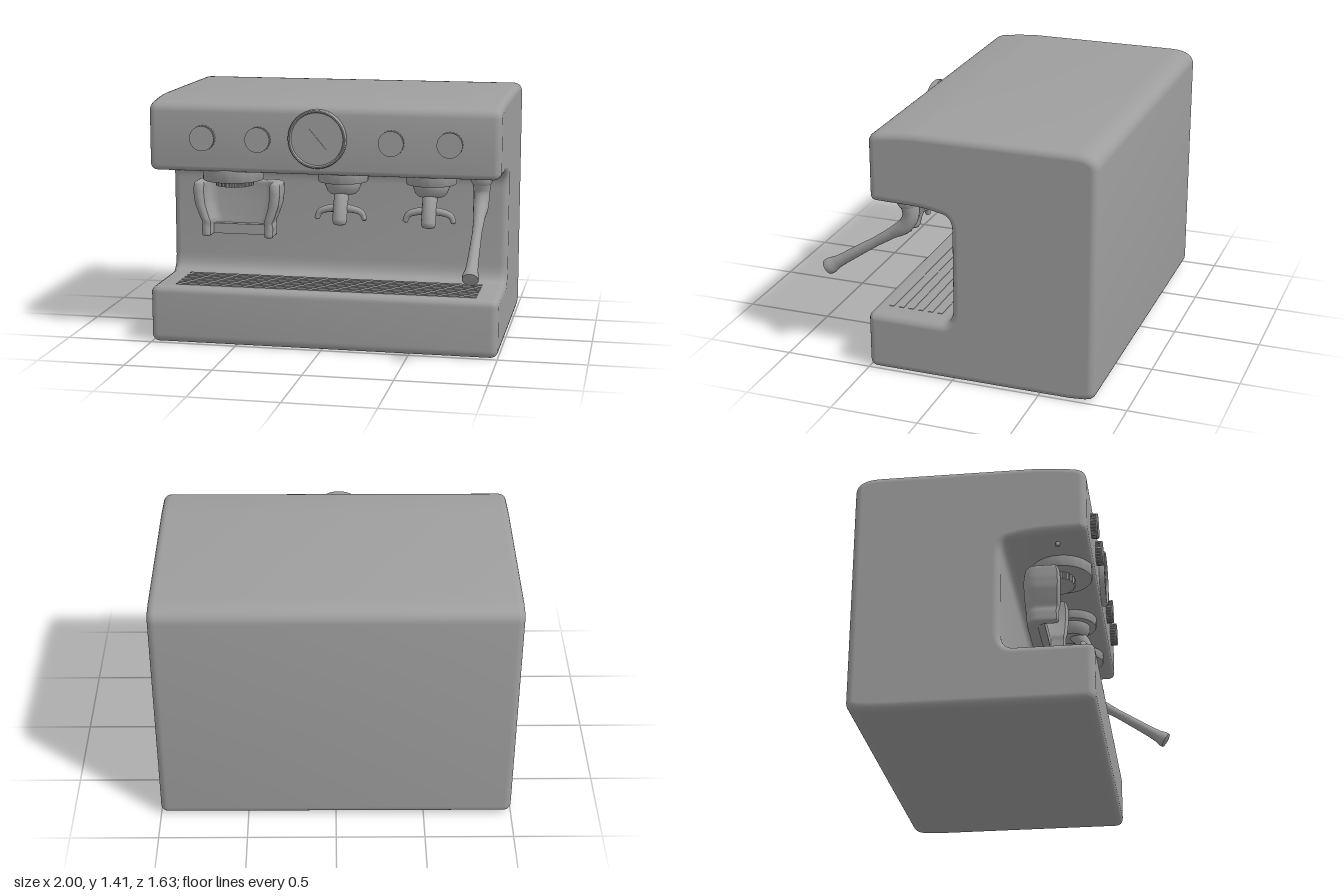
import * as THREE from 'three';
import { toCreasedNormals } from 'three/addons/utils/BufferGeometryUtils.js';

const material = new THREE.MeshStandardMaterial({ color: 0x9e9e9e });

function add(parent, name, geometry, x = 0, y = 0, z = 0) {
  const mesh = new THREE.Mesh(geometry, material);
  mesh.name = name;
  mesh.position.set(x, y, z);
  parent.add(mesh);
  return mesh;
}

// Turned part from [radius, height] pairs, listed from bottom to top
function turned(points) {
  const profile = points.map(([r, y]) => new THREE.Vector2(r, y));
  return toCreasedNormals(new THREE.LatheGeometry(profile, 40), 0.6);
}

// Fluted disc, axis along +z
function fluted(radius, depth, teeth) {
  const shape = new THREE.Shape();
  const count = teeth * 4;
  for (let i = 0; i < count; i++) {
    const a = (i / count) * Math.PI * 2;
    const r = i % 4 < 2 ? radius : radius * 0.93;
    shape[i ? 'lineTo' : 'moveTo'](r * Math.cos(a), r * Math.sin(a));
  }
  return new THREE.ExtrudeGeometry(shape, { depth, bevelEnabled: false });
}

// Piecewise linear lookup in a list of [position, value]
function lookup(table, t) {
  for (let i = 1; i < table.length; i++) {
    const [a, va] = table[i - 1], [b, vb] = table[i];
    if (t <= b) return THREE.MathUtils.mapLinear(Math.max(t, a), a, b, va, vb);
  }
  return table[table.length - 1][1];
}

// Tube with a radius that varies along its path, closed at both ends
function taperedTube(points, radii, rings = 48, sides = 16) {
  const curve = new THREE.CatmullRomCurve3(points.map((p) => new THREE.Vector3(...p)));
  const tube = new THREE.TubeGeometry(curve, rings, 1, sides);
  const pos = tube.attributes.position;
  const v = new THREE.Vector3();
  for (let i = 0; i < pos.count; i++) {
    const t = Math.floor(i / (sides + 1)) / rings;
    const c = curve.getPointAt(t);
    v.fromBufferAttribute(pos, i).sub(c).multiplyScalar(lookup(radii, t)).add(c);
    pos.setXYZ(i, v.x, v.y, v.z);
  }
  tube.computeVertexNormals();
  return toCreasedNormals(tube, 0.9);
}

// C-shaped housing: side profile (z, y) extruded across the width
function bodyGeometry() {
  const s = new THREE.Shape();
  s.moveTo(-0.74, 0.005);
  s.lineTo(-0.67, 0);
  s.lineTo(0.45, 0);
  s.quadraticCurveTo(0.5, 0, 0.5, 0.05);
  s.lineTo(0.5, 0.29);
  s.quadraticCurveTo(0.5, 0.33, 0.46, 0.33);
  s.lineTo(0.07, 0.33);
  s.quadraticCurveTo(0, 0.33, 0, 0.43);
  s.lineTo(0, 0.88);
  s.quadraticCurveTo(0, 0.965, 0.06, 0.972);
  s.quadraticCurveTo(0.16, 0.995, 0.26, 0.996);
  s.lineTo(0.43, 1.0);
  s.quadraticCurveTo(0.47, 1.0, 0.47, 1.04);
  s.lineTo(0.47, 1.34);
  s.quadraticCurveTo(0.465, 1.385, 0.41, 1.395);
  s.quadraticCurveTo(0.3, 1.41, 0.2, 1.415);
  s.lineTo(-0.68, 1.415);
  s.quadraticCurveTo(-0.815, 1.412, -0.815, 1.33);
  s.lineTo(-0.815, 0.06);
  s.quadraticCurveTo(-0.815, 0.01, -0.74, 0.005);
  const b = 0.042;
  const extruded = new THREE.ExtrudeGeometry(s, {
    depth: 2 - 2 * b, bevelThickness: b, bevelSize: b, bevelOffset: -b, bevelSegments: 5, curveSegments: 8,
  });
  extruded.translate(0, 0, b - 1).rotateY(-Math.PI / 2);
  const g = toCreasedNormals(extruded, 0.6);
  // Keep the flat side walls evenly shaded
  const pos = g.attributes.position;
  for (let i = 0; i < pos.count; i++) {
    const x = pos.getX(i);
    if (Math.abs(x) > 0.9999) g.attributes.normal.setXYZ(i, Math.sign(x), 0, 0);
  }
  return g;
}

// Open-fronted cradle: U-shaped plan, its width and depth changing with height
function cradleGeometry() {
  const s = new THREE.Shape();
  s.moveTo(-0.255, -0.09);
  s.lineTo(-0.255, 0.03);
  s.quadraticCurveTo(-0.25, 0.105, -0.17, 0.105);
  s.lineTo(0.17, 0.105);
  s.quadraticCurveTo(0.25, 0.105, 0.255, 0.03);
  s.lineTo(0.255, -0.09);
  s.quadraticCurveTo(0.225, -0.12, 0.195, -0.09);
  s.lineTo(0.195, -0.02);
  s.quadraticCurveTo(0.19, 0.03, 0.14, 0.035);
  s.lineTo(-0.14, 0.035);
  s.quadraticCurveTo(-0.19, 0.03, -0.195, -0.02);
  s.lineTo(-0.195, -0.09);
  s.quadraticCurveTo(-0.225, -0.12, -0.255, -0.09);
  const b = 0.012;
  const g = new THREE.ExtrudeGeometry(s, {
    depth: 0.32 - 2 * b, steps: 24, bevelThickness: b, bevelSize: b, bevelOffset: -b, bevelSegments: 3, curveSegments: 6,
  });
  g.translate(0, 0, b).rotateX(-Math.PI / 2);
  const width = [[0, 0.82], [0.06, 0.83], [0.085, 0.81], [0.12, 0.87], [0.19, 0.97], [0.25, 1], [0.32, 1]];
  const depth = [[0, 0.87], [0.07, 0.87], [0.1, 0.94], [0.22, 1], [0.28, 0.98], [0.32, 0.88]];
  const pos = g.attributes.position;
  for (let i = 0; i < pos.count; i++) {
    const y = pos.getY(i);
    pos.setX(i, pos.getX(i) * lookup(width, y));
    pos.setZ(i, pos.getZ(i) * lookup(depth, y));
  }
  return toCreasedNormals(g, 0.6);
}

export function createModel() {
  const model = new THREE.Group();
  model.name = 'espressoMachine';
  add(model, 'body', bodyGeometry());

  // Drip tray ribs
  for (let i = 0; i < 6; i++) {
    add(model, 'dripTrayRib', new THREE.BoxGeometry(1.74, 0.012, 0.028), 0, 0.327, 0.12 + i * 0.058);
  }

  // Control knobs
  for (const x of [-0.68, -0.36, 0.395, 0.72]) {
    const knob = new THREE.Group();
    knob.name = 'knob';
    knob.position.set(x, 1.195, 0.465);
    add(knob, 'knobGrip', fluted(0.071, 0.037, 24));
    const face = add(knob, 'knobFace', new THREE.CylinderGeometry(0.071, 0.071, 0.008, 40), 0, 0, 0.04);
    face.rotation.x = Math.PI / 2;
    model.add(knob);
  }

  // Pressure gauge
  const gauge = new THREE.Group();
  gauge.name = 'gauge';
  gauge.position.set(-0.022, 1.207, 0.465);
  const rim = turned([[0, 0], [0.165, 0], [0.165, 0.03], [0.16, 0.038], [0.153, 0.038], [0.147, 0.024], [0, 0.024]]);
  add(gauge, 'gaugeRim', rim.rotateX(Math.PI / 2));
  const needle = add(gauge, 'gaugeNeedle', new THREE.BoxGeometry(0.008, 0.15, 0.006), 0, 0, 0.027);
  needle.rotation.z = 0.7;
  model.add(gauge);

  // Brew groups with filter handle and twin spout
  for (const x of [0.087, 0.592]) {
    const brew = new THREE.Group();
    brew.name = 'brewGroup';
    brew.position.set(x, 0, 0.285);
    add(brew, 'groupCollar', turned([[0, 0.945], [0.14, 0.945], [0.143, 0.95], [0.143, 1.01], [0, 1.01]]));
    add(brew, 'filterBasket', turned([[0, 0.875], [0.075, 0.875], [0.09, 0.89], [0.105, 0.93], [0.105, 0.955], [0, 0.955]]));
    add(brew, 'filterHandle', taperedTube(
      [[0, 0.9, 0.02], [0, 0.85, 0.06], [0, 0.78, 0.09], [0, 0.705, 0.11]],
      [[0, 0.045], [0.4, 0.041], [0.88, 0.042], [0.97, 0.034], [1, 0]]));
    for (const side of [-1, 1]) {
      add(brew, 'spout', taperedTube(
        [[0, 0.8, 0.07], [side * 0.07, 0.795, 0.07], [side * 0.12, 0.775, 0.07], [side * 0.14, 0.73, 0.07]],
        [[0, 0.025], [0.5, 0.02], [0.96, 0.015], [1, 0]], 24, 12));
    }
    model.add(brew);
  }

  // Grinder outlet and its cradle
  const grinder = new THREE.Group();
  grinder.name = 'grinderOutlet';
  grinder.position.set(-0.555, 0, 0);
  add(grinder, 'grinderCollar', turned([[0, 0.935], [0.172, 0.935], [0.175, 0.94], [0.175, 1.01], [0, 1.01]]), 0, 0, 0.285);
  add(grinder, 'grinderRing', fluted(0.11, 0.05, 24).rotateX(-Math.PI / 2), 0, 0.895, 0.255);
  add(grinder, 'cradle', cradleGeometry(), 0.016, 0.59, 0.197);
  add(grinder, 'cradleFloor', new THREE.BoxGeometry(0.36, 0.06, 0.08), 0.016, 0.625, 0.165);
  model.add(grinder);
  add(model, 'peg', new THREE.CylinderGeometry(0.012, 0.012, 0.03, 12), -0.875, 0.99, 0.3);

  // Steam wand
  const wand = new THREE.Group();
  wand.name = 'steamWand';
  wand.position.x = 0.876;
  add(wand, 'wandCollar', turned([[0, 0.95], [0.05, 0.95], [0.062, 0.97], [0.062, 1.01], [0, 1.01]]), 0, 0, 0.29);
  add(wand, 'wandPipe', taperedTube(
    [[0, 0.98, 0.285], [0, 0.9, 0.278], [0, 0.835, 0.312], [0, 0.78, 0.39], [0, 0.655, 0.58], [0, 0.51, 0.798]],
    [[0, 0.055], [0.1, 0.046], [0.24, 0.042], [0.34, 0.032], [0.5, 0.027], [0.82, 0.032], [0.9, 0.036], [0.95, 0.046], [0.985, 0.045], [1, 0]], 64));
  model.add(wand);
  return model;
}
